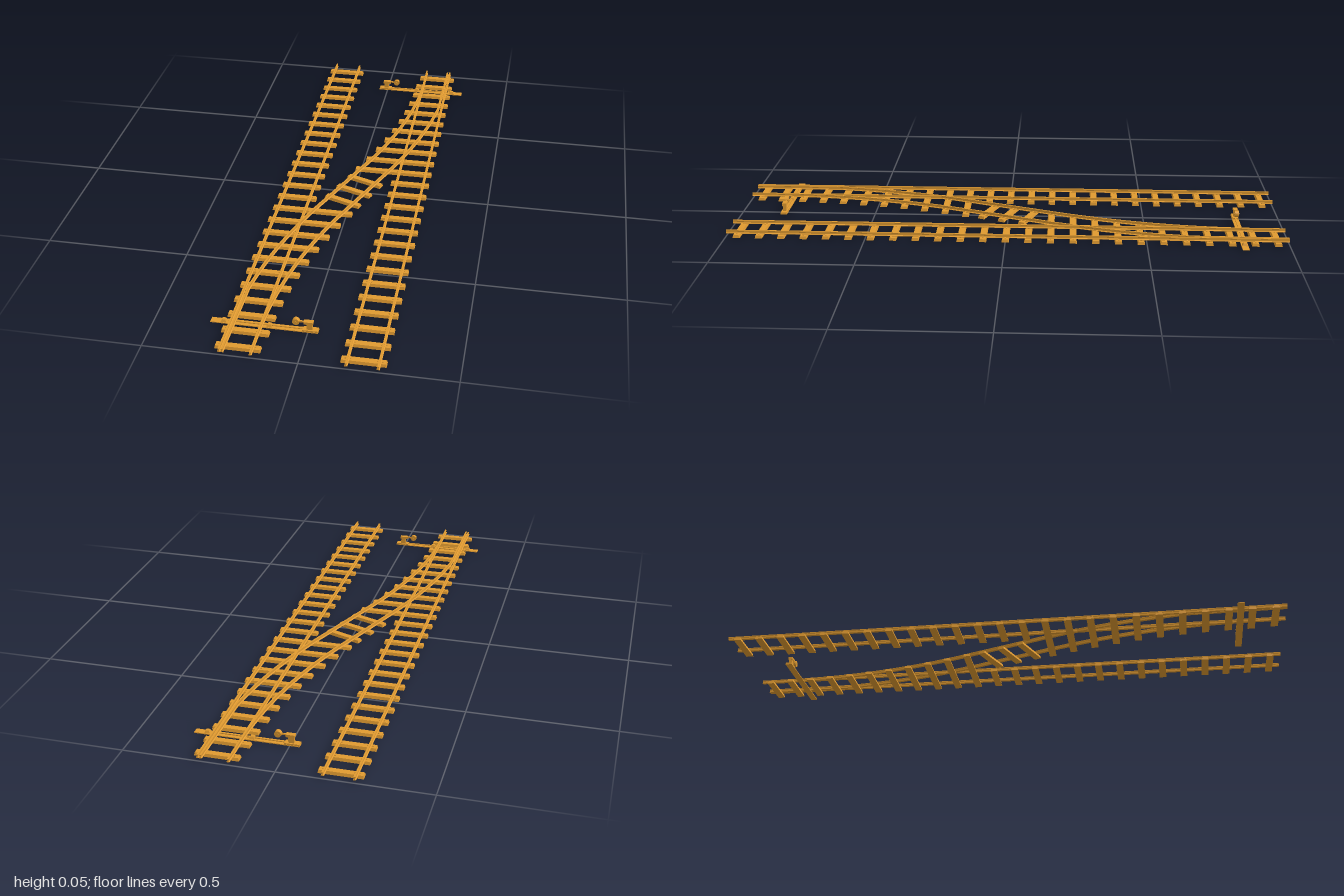
import * as THREE from 'three';

const material = new THREE.MeshStandardMaterial({ color: 0xe09a30, flatShading: true, side: THREE.DoubleSide });

function add(parent, name, geometry, x = 0, y = 0, z = 0) {
  const mesh = new THREE.Mesh(geometry, material);
  mesh.name = name;
  mesh.position.set(x, y, z);
  parent.add(mesh);
  return mesh;
}
const box = (parent, name, w, h, d, x, y, z) => add(parent, name, new THREE.BoxGeometry(w, h, d), x, y, z);

// Rail section: foot, web and head, as [across, up]
const half = [[0.005, 0.0105], [0.005, 0.012], [0.0015, 0.0135], [0.0015, 0.0185], [0.003, 0.0195], [0.003, 0.023]];
const section = [...half, ...half.slice().reverse().map(([x, y]) => [-x, y])];

// Sweep the rail section along plan points [x, z]
function railGeometry(path) {
  const pos = [], index = [], n = section.length;
  path.forEach(([x, z], i) => {
    const a = path[Math.max(i - 1, 0)], b = path[Math.min(i + 1, path.length - 1)];
    const dx = b[0] - a[0], dz = b[1] - a[1], len = Math.hypot(dx, dz);
    for (const [u, y] of section) pos.push(x + u * dz / len, y, z - u * dx / len);
  });
  for (let i = 0; i < path.length - 1; i++) {
    for (let j = 0; j < n; j++) {
      const a = i * n + j, b = i * n + (j + 1) % n;
      index.push(a, b, a + n, b, b + n, a + n);
    }
  }
  const caps = THREE.ShapeUtils.triangulateShape(section.map(([x, y]) => new THREE.Vector2(x, y)), []);
  const last = (path.length - 1) * n;
  for (const [a, b, c] of caps) index.push(a, c, b, last + a, last + b, last + c);
  const g = new THREE.BufferGeometry();
  g.setAttribute('position', new THREE.Float32BufferAttribute(pos, 3));
  g.setIndex(index);
  g.computeVertexNormals();
  return g;
}

// Sleeper with bevelled upper edges
function sleeper(parent, x0, x1, z) {
  const g = new THREE.BoxGeometry(x1 - x0, 0.0105, 0.026);
  const p = g.attributes.position;
  for (let i = 0; i < p.count; i++) {
    if (p.getY(i) > 0) {
      p.setZ(i, p.getZ(i) * 0.8);
      p.setX(i, p.getX(i) - Math.sign(p.getX(i)) * 0.002);
    }
  }
  g.computeVertexNormals();
  return add(parent, 'sleeper', g, (x0 + x1) / 2, 0.00525, z);
}

// Crossover centre line for z <= 0: straight, arc, then straight diagonal
const SLOPE = 0.38, ARC_START = -0.9, ARC_END = -0.15;
function centreX(z) {
  if (z > ARC_END) return -SLOPE * z;
  const t = Math.max(z - ARC_START, 0);
  return 0.2 - SLOPE / (ARC_END - ARC_START) / 2 * t * t;
}
function slopeAt(z) {
  return SLOPE * THREE.MathUtils.clamp((z - ARC_START) / (ARC_END - ARC_START), 0, 1);
}
function crossoverPath(side, start) {
  const path = [];
  for (let i = 0; i <= 40; i++) {
    const z = start * (1 - i / 40), s = slopeAt(z), len = Math.hypot(1, s);
    let x = centreX(z) + side * 0.05 / len;
    // The switch blade lies just inside the stock rail
    if (side > 0) x = Math.min(x, 0.24 - 0.01 * Math.max(z + 1, 0));
    path.push([x, z + side * 0.05 * s / len]);
  }
  return path;
}

// Switch stand with plate, tie bar, post and counterweight lever
function switchStand() {
  const g = new THREE.Group();
  g.name = 'switchStand';
  box(g, 'plate', 0.352, 0.003, 0.024, 0.142, 0.0045, 0);
  box(g, 'tieBar', 0.27, 0.003, 0.006, 0.125, 0.0095, 0);
  for (const x of [0.125, 0.275]) {
    const clamp = add(g, 'clamp', new THREE.CylinderGeometry(0.008, 0.013, 0.009, 4), x, 0.0105, 0);
    clamp.geometry.rotateY(Math.PI / 4);
  }
  box(g, 'standBase', 0.05, 0.005, 0.022, -0.008, 0.0085, 0);
  box(g, 'post', 0.019, 0.022, 0.012, -0.005, 0.021, 0);
  box(g, 'postHead', 0.03, 0.009, 0.016, -0.002, 0.036, 0);
  box(g, 'leverArm', 0.05, 0.005, 0.005, 0.013, 0.037, 0);
  const weight = add(g, 'counterweight', new THREE.CylinderGeometry(0.0115, 0.0115, 0.014, 16), 0.039, 0.0365, 0);
  weight.rotation.x = Math.PI / 2;
  const hub = add(g, 'weightHub', new THREE.CylinderGeometry(0.003, 0.003, 0.018, 8), 0.039, 0.0365, 0);
  hub.rotation.x = Math.PI / 2;
  return g;
}

// One straight track with its half of the crossover
function trackHalf() {
  const g = new THREE.Group();
  g.name = 'track';
  for (const x of [0.15, 0.25]) add(g, 'straightRail', railGeometry([[x, -1], [x, 1]]));
  for (let i = 0; i < 25; i++) {
    const z = -0.96 + i * 0.08;
    const left = z < -0.12 ? centreX(z) - 0.075 : 0.127;
    sleeper(g, Math.min(left, 0.127) - (z > -0.9 && z < -0.12 ? 0.008 : 0), 0.272, z);
    // Spikes beside the rails
    for (const x of [0.142, 0.158, 0.242, 0.258]) box(g, 'spike', 0.004, 0.003, 0.005, x, 0.0115, z);
  }
  add(g, 'stockRail', railGeometry(crossoverPath(-1, -0.9)));
  add(g, 'bladeRail', railGeometry(crossoverPath(1, -1)));
  sleeper(g, centreX(-0.075) - 0.072, centreX(-0.075) + 0.072, -0.075).rotation.y = -Math.atan(SLOPE);
  const stand = switchStand();
  stand.position.z = -0.84;
  g.add(stand);
  return g;
}

export function createModel() {
  const model = new THREE.Group();
  model.name = 'railwayCrossover';
  const right = trackHalf(), left = trackHalf();
  left.rotation.y = Math.PI;
  model.add(right, left);
  sleeper(model, -0.072, 0.072, 0).rotation.y = -Math.atan(SLOPE);
  return model;
}
